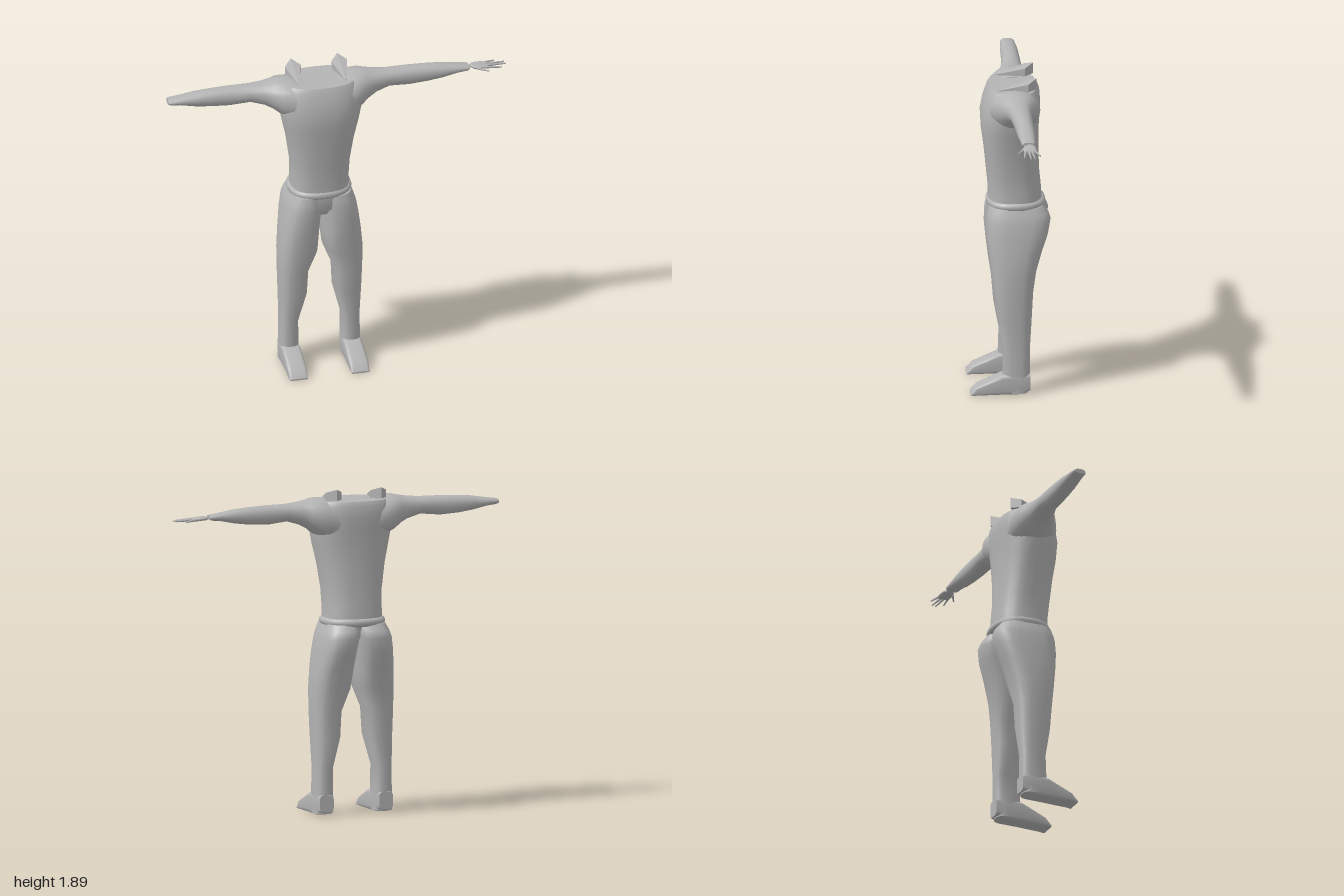
import * as THREE from 'three';
import { ConvexGeometry } from 'three/addons/geometries/ConvexGeometry.js';

const grey = new THREE.MeshStandardMaterial({ color: 0xb4b4b4 });
grey.name = 'plain grey';

// Skin over cross-sections [t, aMin, aMax, bMin, bMax] stacked along an axis.
// (a, b) are the next two axes in cyclic order: x -> y,z   y -> z,x   z -> x,y
function loft(name, axis, rings, { power = 2.4, sides = 20, mirror = 1 } = {}) {
  const k = 'xyz'.indexOf(axis), pos = [], idx = [];
  const put = (t, a, b) => {
    const p = [0, 0, 0];
    p[k] = t; p[(k + 1) % 3] = a; p[(k + 2) % 3] = b;
    pos.push(p[0] * mirror, p[1], p[2]);
  };
  const tri = (a, b, c) => (mirror > 0 ? idx.push(a, b, c) : idx.push(a, c, b));
  const ring = ([t, a0, a1, b0, b1]) => {
    for (let i = 0; i < sides; i++) {
      const u = (i / sides) * Math.PI * 2, c = Math.cos(u), s = Math.sin(u);
      const bend = (v) => Math.sign(v) * Math.abs(v) ** (2 / power);
      put(t, (a0 + a1) / 2 + ((a1 - a0) / 2) * bend(c), (b0 + b1) / 2 + ((b1 - b0) / 2) * bend(s));
    }
  };
  rings.forEach(ring);
  for (let j = 0; j < rings.length - 1; j++) {
    for (let i = 0; i < sides; i++) {
      const a = j * sides + i, b = j * sides + ((i + 1) % sides);
      tri(a, b, b + sides);
      tri(a, b + sides, a + sides);
    }
  }
  // Flat end caps with their own vertices
  [rings[0], rings.at(-1)].forEach((r, end) => {
    const start = pos.length / 3;
    ring(r);
    put(r[0], (r[1] + r[2]) / 2, (r[3] + r[4]) / 2);
    for (let i = 0; i < sides; i++) {
      const a = start + i, b = start + ((i + 1) % sides), c = start + sides;
      if (end) tri(a, b, c); else tri(b, a, c);
    }
  });
  const g = new THREE.BufferGeometry();
  g.setAttribute('position', new THREE.Float32BufferAttribute(pos, 3));
  g.setIndex(idx);
  g.computeVertexNormals();
  const mesh = new THREE.Mesh(g, grey);
  mesh.name = name;
  return mesh;
}

// Tapered finger between two points
function finger(from, to) {
  const a = new THREE.Vector3(...from), b = new THREE.Vector3(...to);
  const dir = b.clone().sub(a);
  const g = new THREE.CylinderGeometry(0.004, 0.008, dir.length(), 6);
  const mesh = new THREE.Mesh(g, grey);
  mesh.position.copy(a).add(b).multiplyScalar(0.5);
  mesh.quaternion.setFromUnitVectors(new THREE.Vector3(0, 1, 0), dir.normalize());
  mesh.name = 'finger';
  return mesh;
}

export function createModel() {
  const model = new THREE.Group();
  model.name = 'figure';
  const body = new THREE.Group();
  body.name = 'body';
  body.position.x = -0.107; // the single hand shifts the body off centre
  model.add(body);

  // Sweater body and rolled hem
  body.add(loft('torso', 'y', [
    [1.12, -0.19, 0.12, -0.17, 0.17],
    [1.20, -0.185, 0.12, -0.168, 0.168],
    [1.30, -0.175, 0.13, -0.172, 0.172],
    [1.45, -0.17, 0.145, -0.195, 0.195],
    [1.56, -0.17, 0.16, -0.22, 0.22],
    [1.65, -0.175, 0.165, -0.238, 0.238],
    [1.73, -0.18, 0.15, -0.24, 0.24],
    [1.79, -0.175, 0.13, -0.235, 0.235],
    [1.818, -0.16, 0.115, -0.21, 0.21],
  ], { power: 2.5, sides: 28 }));
  body.add(loft('hem', 'y', [
    [1.095, -0.19, 0.115, -0.17, 0.17],
    [1.105, -0.205, 0.128, -0.182, 0.182],
    [1.12, -0.21, 0.132, -0.186, 0.186],
    [1.135, -0.205, 0.128, -0.182, 0.182],
    [1.142, -0.19, 0.118, -0.17, 0.17],
  ], { power: 2.4, sides: 28 }));
  // Front of the hips, joining the legs
  body.add(loft('hips', 'y', [
    [0.98, -0.10, 0.085, -0.06, 0.06],
    [1.03, -0.16, 0.122, -0.17, 0.17],
    [1.11, -0.17, 0.122, -0.175, 0.175],
  ]));

  for (const mirror of [1, -1]) {
    const side = mirror > 0 ? 'left' : 'right';
    // Sleeve from inside the shoulder to the cuff
    body.add(loft(side + 'Arm', 'x', [
      [0.10, 1.58, 1.822, -0.165, 0.12],
      [0.18, 1.60, 1.835, -0.17, 0.12],
      [0.24, 1.63, 1.838, -0.155, 0.09],
      [0.28, 1.662, 1.828, -0.135, 0.065],
      [0.33, 1.688, 1.82, -0.115, 0.038],
      [0.41, 1.712, 1.812, -0.105, 0.018],
      [0.53, 1.70, 1.812, -0.105, 0.005],
      [0.64, 1.706, 1.807, -0.104, 0.0],
      [0.73, 1.718, 1.80, -0.102, -0.002],
      [0.82, 1.737, 1.785, -0.096, -0.01],
      [0.875, 1.743, 1.778, -0.093, -0.013],
      [0.888, 1.748, 1.775, -0.085, -0.02],
    ], { power: 2.2, mirror }));
    // Trouser leg
    body.add(loft(side + 'Leg', 'y', [
      [0.01, -0.10, 0.03, 0.127, 0.238],
      [0.13, -0.11, 0.05, 0.127, 0.236],
      [0.27, -0.11, 0.045, 0.128, 0.234],
      [0.45, -0.122, 0.078, 0.08, 0.24],
      [0.60, -0.13, 0.09, 0.073, 0.245],
      [0.73, -0.15, 0.11, 0.02, 0.246],
      [0.85, -0.185, 0.125, 0.01, 0.235],
      [0.95, -0.22, 0.135, 0.002, 0.222],
      [1.03, -0.235, 0.135, -0.01, 0.208],
      [1.07, -0.222, 0.13, -0.012, 0.195],
      [1.11, -0.19, 0.12, -0.015, 0.178],
    ], { power: 2.6, mirror }));
    // Wedge-shaped foot
    body.add(loft(side + 'Foot', 'z', [
      [-0.11, 0.14, 0.225, 0.02, 0.12],
      [-0.05, 0.127, 0.238, 0.0, 0.13],
      [0.05, 0.125, 0.238, 0.0, 0.122],
      [0.12, 0.125, 0.238, 0.0, 0.09],
      [0.195, 0.127, 0.238, 0.0, 0.055],
      [0.232, 0.13, 0.234, 0.0, 0.01],
    ], { power: 5, mirror }));
    // Faceted spike lying on the shoulder, point forward
    const spike = new THREE.Mesh(new ConvexGeometry([
      [0, 1.822, 0.078], [0, 1.893, -0.15], [0, 1.828, -0.15],
      [0.047, 1.872, -0.1], [-0.047, 1.872, -0.1],
      [0.047, 1.826, -0.1], [-0.047, 1.826, -0.1],
    ].map((p) => new THREE.Vector3(...p))), grey);
    spike.position.x = 0.137 * mirror;
    spike.name = side + 'ShoulderSpike';
    body.add(spike);
  }

  // Left hand: flat palm, four fingers and a thumb
  const hand = new THREE.Group();
  hand.name = 'leftHand';
  hand.add(loft('palm', 'x', [
    [0.787, 1.754, 1.768, -0.066, -0.05],
    [0.81, 1.748, 1.77, -0.09, -0.022],
    [0.85, 1.746, 1.768, -0.095, -0.015],
    [0.89, 1.746, 1.762, -0.092, -0.02],
  ], { power: 2.6, sides: 12 }));
  [
    [[0.875, 1.755, -0.084], [0.943, 1.75, -0.108]],
    [[0.88, 1.755, -0.066], [0.995, 1.752, -0.076]],
    [[0.88, 1.755, -0.048], [1.0, 1.752, -0.052]],
    [[0.875, 1.755, -0.028], [0.968, 1.75, -0.016]],
    [[0.825, 1.755, -0.025], [0.89, 1.748, 0.012]],
  ].forEach(([from, to]) => hand.add(finger(from, to)));
  model.add(hand);
  return model;
}
